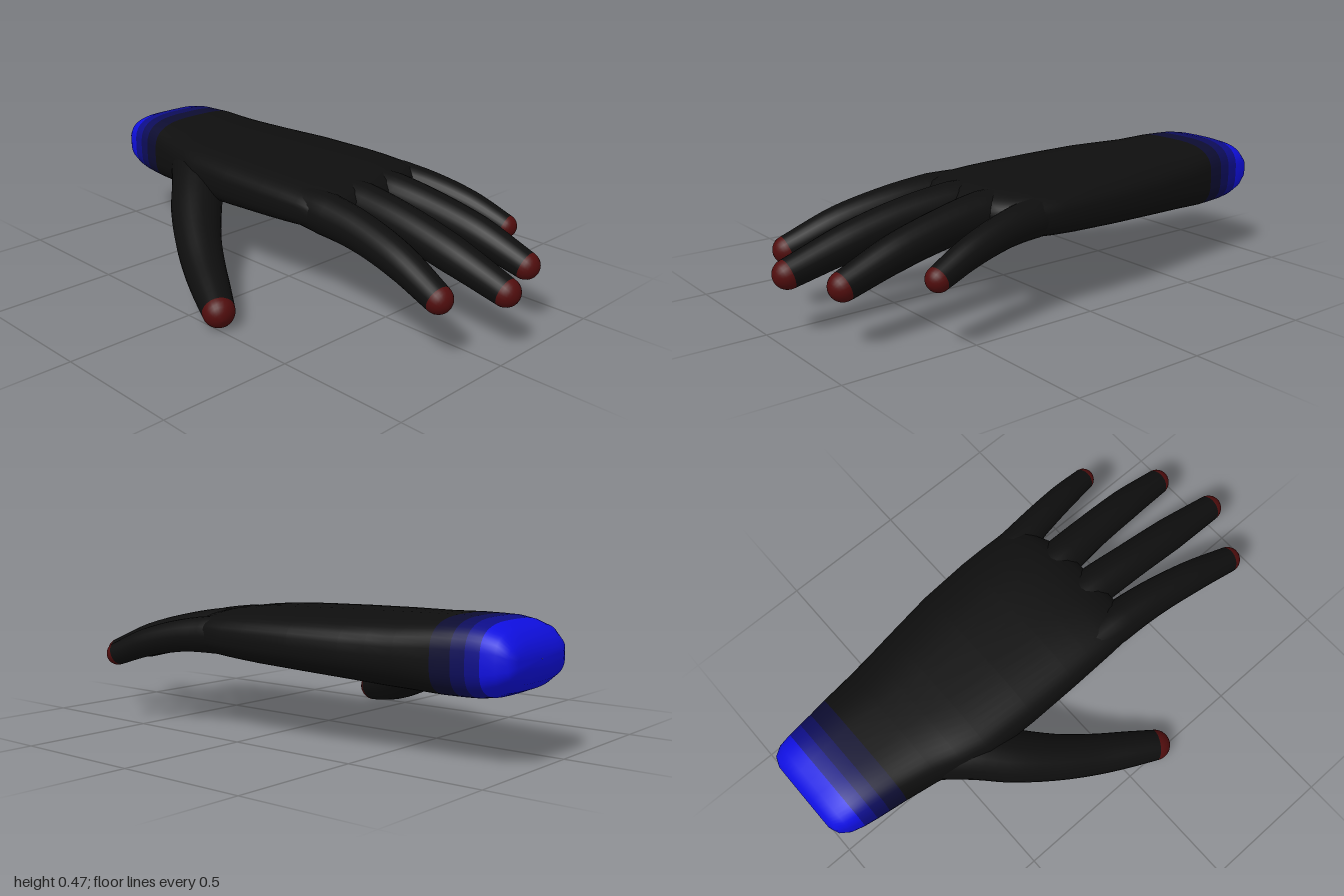
import * as THREE from 'three';

const mat = (name, color) => Object.assign(new THREE.MeshStandardMaterial({ color }), { name });

// Skins a row of rings; colourOf(i) gives the material index of the band after ring i
function loft(rings, colourOf) {
  const n = rings[0].length, index = [], geo = new THREE.BufferGeometry();
  geo.setFromPoints(rings.flat());
  for (let i = 0; i < rings.length - 1; i++) {
    geo.addGroup(index.length, n * 6, colourOf(i));
    for (let j = 0; j < n; j++) {
      const a = i * n + j, b = i * n + (j + 1) % n;
      index.push(a, b, b + n, a, b + n, a + n);
    }
  }
  geo.setIndex(index);
  geo.computeVertexNormals();
  return geo;
}

// Rounded-box outline across the palm
function palmRing([z, x0, x1, y0, y1], power) {
  const ring = [], N = 48;
  const bend = (v) => Math.sign(v) * Math.pow(Math.abs(v), 2 / power);
  for (let j = 0; j < N; j++) {
    const a = (j / N) * Math.PI * 2;
    ring.push(new THREE.Vector3(
      (x0 + x1) / 2 + bend(Math.cos(a)) * (x1 - x0) / 2,
      (y0 + y1) / 2 + bend(Math.sin(a)) * (y1 - y0) / 2, z));
  }
  return ring;
}

// Tapered finger along a path, ending in a coloured half ball
function fingerGeometry(points, radii) {
  const curve = new THREE.CatmullRomCurve3(points.map((p) => new THREE.Vector3(...p)));
  const rings = [], N = 24, steps = 20, capSteps = 7;
  const addRing = (c, t, r) => {
    const side = new THREE.Vector3(0, 1, 0).cross(t).normalize();
    const up = t.clone().cross(side);
    rings.push(Array.from({ length: N }, (_, j) => {
      const a = (j / N) * Math.PI * 2;
      return c.clone().addScaledVector(side, Math.cos(a) * r).addScaledVector(up, Math.sin(a) * r);
    }));
  };
  for (let i = 0; i <= steps; i++) {
    const u = i / steps, f = u * (radii.length - 1), k = Math.min(Math.floor(f), radii.length - 2);
    addRing(curve.getPoint(u), curve.getTangent(u), THREE.MathUtils.lerp(radii[k], radii[k + 1], f - k));
  }
  const end = curve.getPoint(1), dir = curve.getTangent(1), r = radii[radii.length - 1];
  for (let i = 1; i <= capSteps; i++) {
    const a = (i / capSteps) * Math.PI / 2;
    addRing(end.clone().addScaledVector(dir, r * Math.sin(a)), dir, Math.max(r * Math.cos(a), 0.0005));
  }
  return loft(rings, (i) => (i < steps ? 0 : 1));
}

export function createModel() {
  const hand = new THREE.Group();
  hand.name = 'hand';
  const black = mat('black', 0x0e0e0e), red = mat('darkRed', 0x500d0d);
  const wristColours = [black, mat('blue', 0x0f0fe0), mat('deepBlue', 0x0d0d88),
    mat('navy', 0x0c0c58), mat('darkNavy', 0x0c0c30)];

  // Palm and wrist: z, left-right limits, bottom and top
  const sections = [
    [-1, 0.164, 0.166, 0.354, 0.356],
    [-1, 0.02, 0.31, 0.32, 0.385],
    [-0.985, -0.015, 0.345, 0.28, 0.42],
    [-0.95, -0.038, 0.362, 0.25, 0.455],
    [-0.9, -0.05, 0.37, 0.23, 0.472],
    [-0.85, -0.058, 0.375, 0.222, 0.48],
    [-0.8, -0.065, 0.38, 0.22, 0.481],
    [-0.73, -0.075, 0.39, 0.22, 0.481],
    [-0.6, -0.1, 0.408, 0.222, 0.478],
    [-0.5, -0.13, 0.422, 0.226, 0.476],
    [-0.4, -0.155, 0.438, 0.232, 0.474],
    [-0.2, -0.162, 0.467, 0.245, 0.471],
    [0, -0.161, 0.48, 0.256, 0.466],
    [0.1, -0.159, 0.481, 0.263, 0.462],
    [0.19, -0.157, 0.48, 0.272, 0.455],
    [0.25, -0.154, 0.46, 0.28, 0.445],
    [0.3, -0.14, 0.37, 0.292, 0.428],
    [0.33, -0.11, 0.32, 0.315, 0.4],
    [0.335, 0.1, 0.101, 0.355, 0.356],
  ];
  const bands = [1, 1, 1, 1, 2, 3, 4];
  const rings = sections.map((s) => palmRing(s, s[0] < -0.6 ? 3.2 : 2.8));
  const palm = new THREE.Mesh(loft(rings, (i) => bands[i] ?? 0), wristColours);
  palm.name = 'palmAndWrist';
  hand.add(palm);

  // Fingers and thumb: path from root to tip centre, with radii
  const fingers = {
    indexFinger: [[[-0.075, 0.365, 0.1], [-0.078, 0.36, 0.28], [-0.09, 0.345, 0.45],
      [-0.115, 0.305, 0.65], [-0.141, 0.238, 0.838]], [0.07, 0.078, 0.071, 0.063, 0.051]],
    middleFinger: [[[0.09, 0.37, 0.1], [0.088, 0.363, 0.3], [0.08, 0.343, 0.5],
      [0.076, 0.295, 0.72], [0.075, 0.23, 0.947]], [0.07, 0.08, 0.072, 0.067, 0.052]],
    ringFinger: [[[0.25, 0.37, 0.1], [0.258, 0.363, 0.3], [0.272, 0.343, 0.47],
      [0.287, 0.3, 0.67], [0.3, 0.234, 0.87]], [0.07, 0.079, 0.07, 0.064, 0.051]],
    littleFinger: [[[0.4, 0.365, 0.05], [0.414, 0.362, 0.2], [0.44, 0.35, 0.34],
      [0.47, 0.315, 0.5], [0.496, 0.263, 0.642]], [0.06, 0.069, 0.06, 0.053, 0.044]],
    thumb: [[[0.0, 0.345, -0.56], [-0.085, 0.305, -0.44], [-0.185, 0.248, -0.33],
      [-0.285, 0.185, -0.2], [-0.365, 0.13, -0.07], [-0.425, 0.095, 0.04],
      [-0.48, 0.066, 0.143]], [0.1, 0.105, 0.1, 0.088, 0.079, 0.071, 0.06]],
  };
  for (const [name, [path, radii]] of Object.entries(fingers)) {
    const finger = new THREE.Mesh(fingerGeometry(path, radii), [black, red]);
    finger.name = name;
    hand.add(finger);
  }
  return hand;
}
